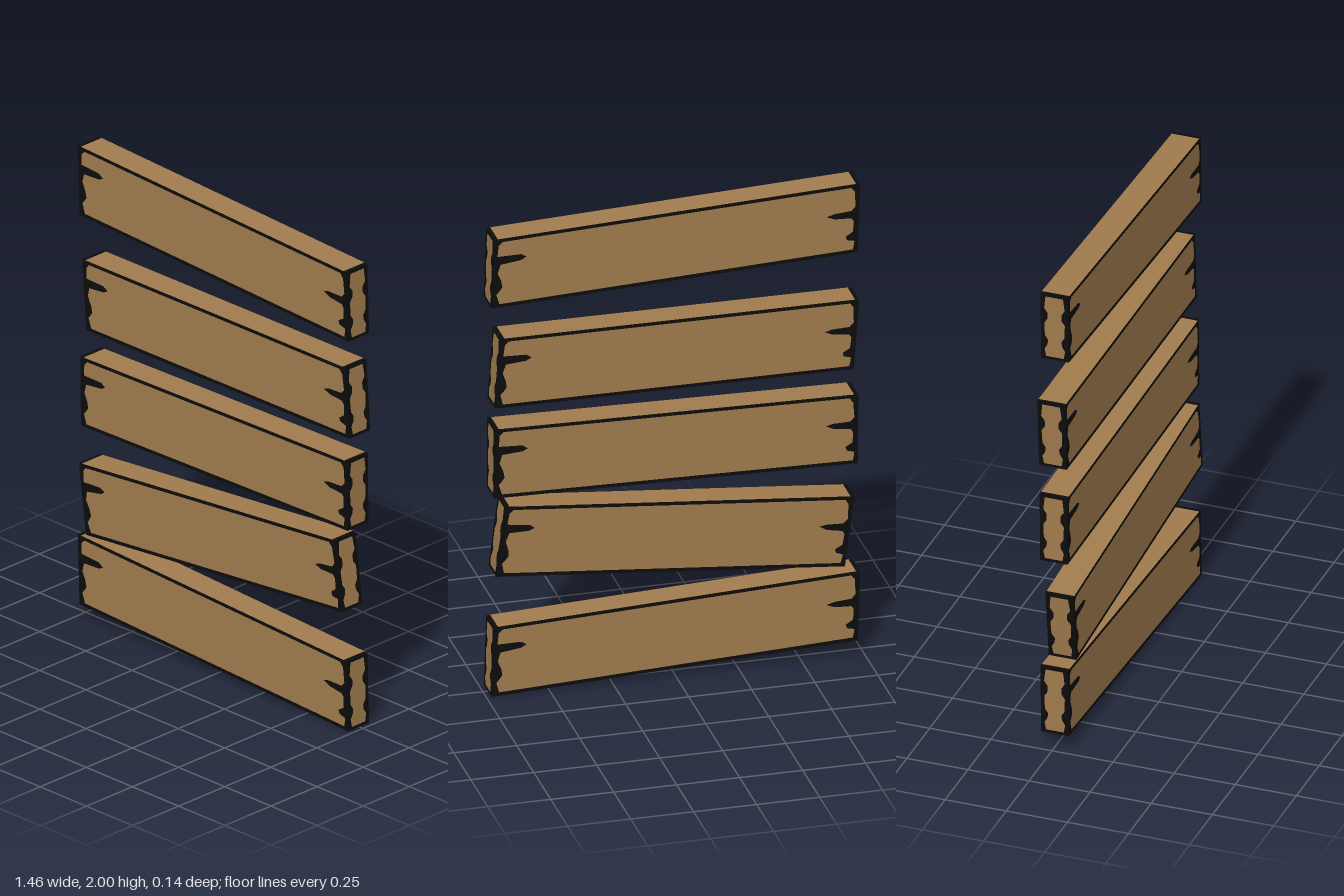
import * as THREE from 'three';

// nominal half sizes of one plank
const A = 0.72, B = 0.144, D = 0.0565;

// wood outline of a broad face, cut in by the dark cracks at both ends
const FACE = [
  [-0.69, -0.13], [0.7, -0.13], [0.705, -0.095], [0.675, -0.087], [0.67, -0.072], [0.698, -0.055],
  [0.7, -0.012], [0.69, 0.002], [0.625, 0.008], [0.592, 0.022], [0.62, 0.03], [0.69, 0.033],
  [0.705, 0.05], [0.7, 0.112], [0.685, 0.13], [-0.685, 0.13], [-0.7, 0.115], [-0.703, 0.07],
  [-0.61, 0.067], [-0.588, 0.053], [-0.61, 0.042], [-0.69, 0.035], [-0.7, 0], [-0.685, -0.035],
  [-0.68, -0.06], [-0.69, -0.075], [-0.703, -0.09],
];
// right half of the wood outline on an end, bottom to top
const END_SIDE = [
  [0.036, -0.132], [0.042, -0.1], [0.03, -0.08], [0.027, -0.06], [0.04, -0.04],
  [0.042, 0.015], [0.028, 0.035], [0.028, 0.06], [0.042, 0.08], [0.036, 0.132],
];
const END = [...END_SIDE, ...END_SIDE.map(([x, y]) => [-x, y]).reverse()];

const toPoints = (list) => list.map(([x, y]) => new THREE.Vector2(x, y));
const rect = (x0, y0, x1, y1) => [[x0, y0], [x1, y0], [x1, y1], [x0, y1]];

function flat(outline, hole) {
  const shape = new THREE.Shape(toPoints(outline));
  if (hole) shape.holes.push(new THREE.Path(toPoints(hole)));
  return new THREE.ShapeGeometry(shape);
}

export function createModel() {
  const wood = new THREE.MeshStandardMaterial({ color: 0xa07b4d });
  wood.name = 'brown wood';
  const dark = new THREE.MeshStandardMaterial({ color: 0x0c0c0c });
  dark.name = 'dark edge';

  // each plank: left top, right top, right bottom corner, and depth position
  const planks = [
    [[-0.733, 2.0], [0.721, 1.938], [0.73, 1.648], 0.003],
    [[-0.725, 1.517], [0.699, 1.523], [0.72, 1.23], -0.013],
    [[-0.724, 1.11], [0.719, 1.137], [0.72, 0.845], -0.003],
    [[-0.714, 0.67], [0.67, 0.795], [0.708, 0.503], 0.016],
    [[-0.733, 0.358], [0.721, 0.296], [0.73, 0.003], 0.003],
  ];

  const model = new THREE.Group();
  model.name = 'plankStack';

  planks.forEach(([tl, tr, br, z], i) => {
    const plank = new THREE.Group();
    plank.name = `plank${i + 1}`;
    model.add(plank);

    // slanted frame that tilts and skews the plank
    const m = new THREE.Matrix4().set(
      (tr[0] - tl[0]) / (2 * A), (tr[0] - br[0]) / (2 * B), 0, (tl[0] + br[0]) / 2,
      (tr[1] - tl[1]) / (2 * A), (tr[1] - br[1]) / (2 * B), 0, (tl[1] + br[1]) / 2,
      0, 0, 1, z,
      0, 0, 0, 1,
    );
    const add = (name, geometry, material, rx, ry, out) => {
      geometry.translate(0, 0, out).rotateX(rx).rotateY(ry).applyMatrix4(m);
      const mesh = new THREE.Mesh(geometry, material);
      mesh.name = name;
      plank.add(mesh);
    };

    // broad faces and ends: wood panel inside a dark cracked frame
    [
      ['front', 0, FACE, A, D],
      ['back', Math.PI, FACE, A, D],
      ['leftEnd', Math.PI / 2, END, D, A],
      ['rightEnd', -Math.PI / 2, END, D, A],
    ].forEach(([name, turn, outline, half, out]) => {
      add(`${name}Wood`, flat(outline), wood, 0, turn, out);
      add(`${name}Edge`, flat(rect(-half, -B, half, B), outline), dark, 0, turn, out);
    });

    // top and bottom: plain wood with dark strips at the ends
    [['top', -1], ['bottom', 1]].forEach(([name, s]) => {
      const e = A - 0.016;
      const tilt = s * Math.PI / 2;
      add(`${name}Wood`, flat(rect(-e, -D, e, D)), wood, tilt, 0, B);
      add(`${name}LeftStrip`, flat(rect(e, -D, A, D)), dark, tilt, 0, B);
      add(`${name}RightStrip`, flat(rect(-A, -D, -e, D)), dark, tilt, 0, B);
    });
  });

  return model;
}
